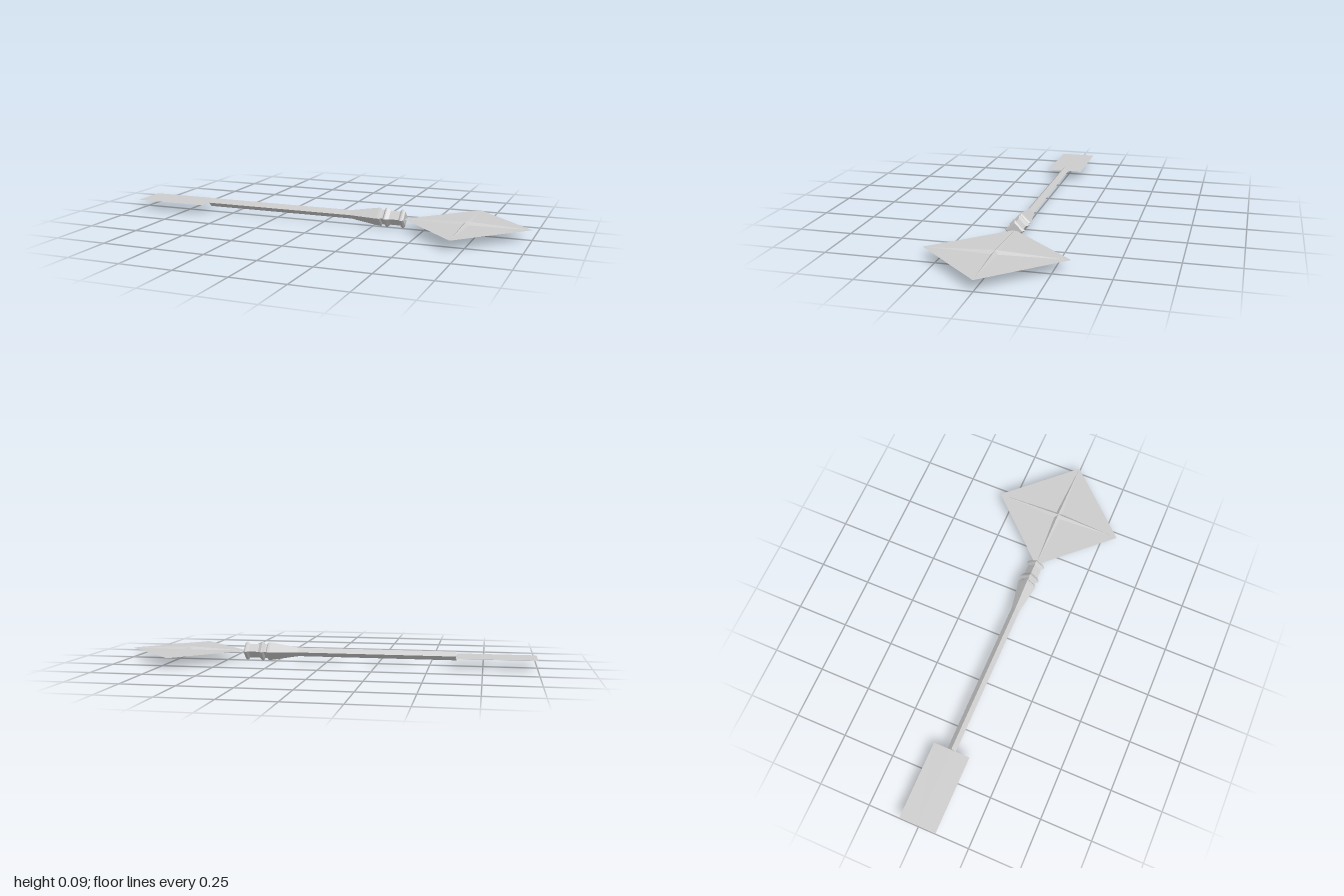
import * as THREE from 'three';

const AXIS_Y = 0.0475;
const HEAD_X = 0.7;

// Flat-faced copy of a geometry
function faceted(geometry) {
  const g = geometry.index ? geometry.toNonIndexed() : geometry;
  g.computeVertexNormals();
  return g;
}

// Four-pointed star, peaked above and below its centre
function starGeometry(reach, notch, peak) {
  const rim = [];
  for (let i = 0; i < 8; i++) {
    const a = (i * Math.PI) / 4;
    const r = i % 2 ? notch : reach;
    rim.push([r * Math.cos(a), 0, r * Math.sin(a)]);
  }
  const pos = [];
  rim.forEach((p, i) => {
    const q = rim[(i + 1) % 8];
    pos.push(...q, ...p, 0, peak, 0);
    pos.push(...p, ...q, 0, -peak, 0);
  });
  const g = new THREE.BufferGeometry();
  g.setAttribute('position', new THREE.Float32BufferAttribute(pos, 3));
  return faceted(g);
}

export function createModel() {
  const model = new THREE.Group();
  const grey = new THREE.MeshStandardMaterial({ color: 0xcccccc, side: THREE.DoubleSide });
  grey.name = 'light grey';

  const add = (name, geometry, x) => {
    const mesh = new THREE.Mesh(geometry, grey);
    mesh.name = name;
    mesh.position.set(x, AXIS_Y, 0);
    model.add(mesh);
  };

  // Square shaft standing on its edge, with a flared collar; [radius, x]
  const profile = [
    [0, -0.625], [0.021, -0.625], [0.021, 0.14], [0.044, 0.28],
    [0.044, 0.292], [0.035, 0.298], [0.035, 0.308], [0.0475, 0.316],
    [0.0475, 0.322], [0.034, 0.338], [0.034, 0.385], [0.045, 0.395],
    [0.045, 0.402], [0.036, 0.41], [0, 0.41],
  ].map(([r, x]) => new THREE.Vector2(r, x));
  add('shaft', faceted(new THREE.LatheGeometry(profile, 4).rotateZ(-Math.PI / 2)), 0);

  // Diamond-shaped sheet at the head
  const diamond = new THREE.Shape([
    new THREE.Vector2(-0.3, 0), new THREE.Vector2(0, -0.32),
    new THREE.Vector2(0.3, 0), new THREE.Vector2(0, 0.32),
  ]);
  add('headBlade', new THREE.ShapeGeometry(diamond).rotateX(-Math.PI / 2), HEAD_X);

  // Star through the middle of the head
  add('headStar', starGeometry(0.3, 0.021, 0.0145), HEAD_X);

  // Flat tail sheet
  add('tailVane', new THREE.PlaneGeometry(0.375, 0.18, 1, 2).rotateX(-Math.PI / 2), -0.8125);

  return model;
}
